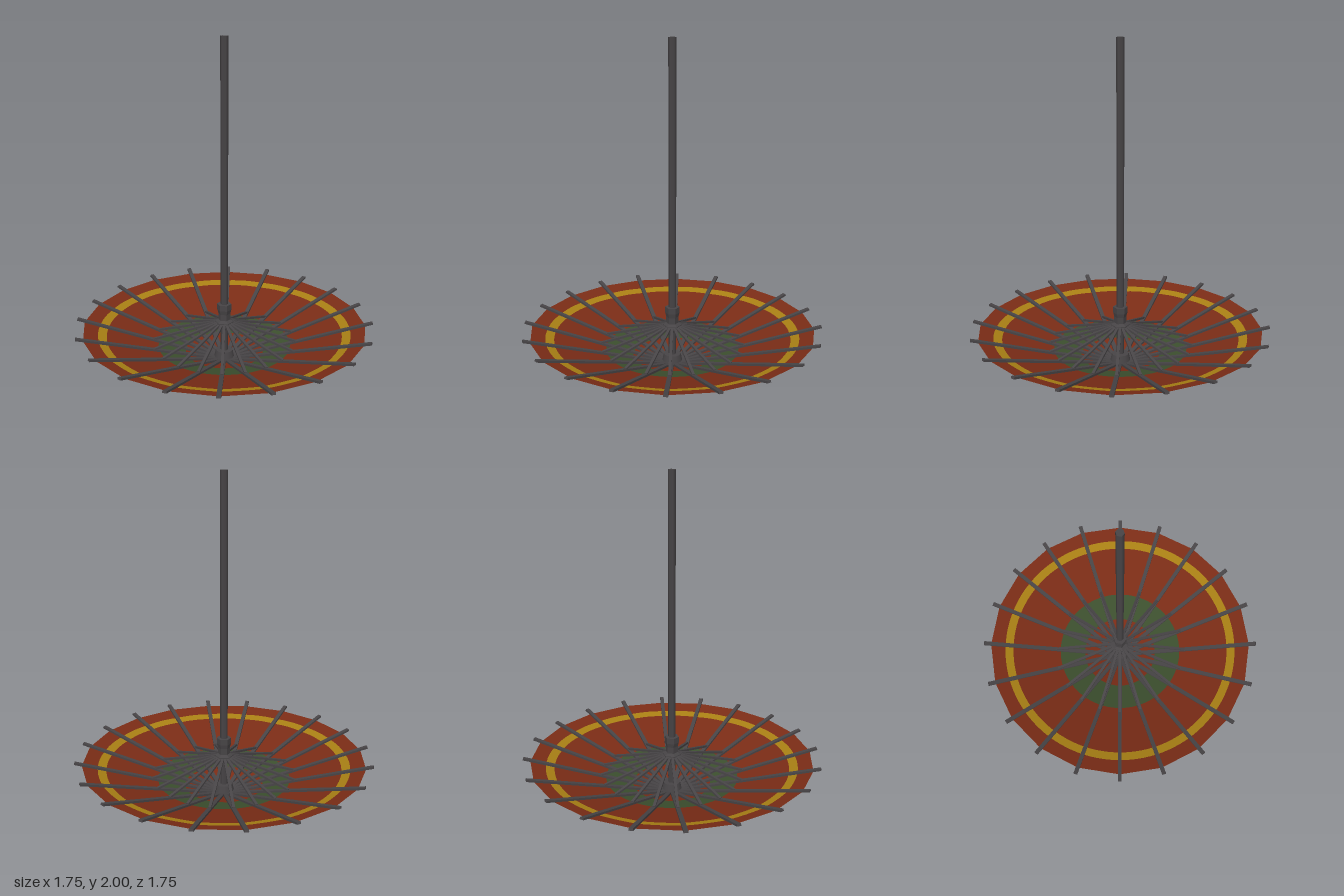
import * as THREE from 'three';

const SIDES = 20, STEP = (Math.PI * 2) / SIDES, SUB = 6;
const APEX_Y = 0.095, RIM_Y = 0.33, RIM_R = 0.83;
const SLOPE = (RIM_Y - APEX_Y) / RIM_R;

function mat(name, color, side = THREE.FrontSide) {
  const m = new THREE.MeshStandardMaterial({ color, side });
  m.name = name;
  return m;
}

// Faceted cone surface between two radii; stripes are round, the rim follows the polygon
function canopyRing(r0, r1, isRim) {
  const pos = [];
  const point = (i, r, polygonal) => {
    const a = (i / SUB) * STEP;
    const dev = ((i % SUB) / SUB - 0.5) * STEP;
    const facet = Math.cos(dev) / Math.cos(STEP / 2);
    const rad = polygonal ? r / facet : r;
    return [Math.cos(a) * rad, APEX_Y + SLOPE * rad * facet, Math.sin(a) * rad];
  };
  for (let i = 0; i < SIDES * SUB; i++) {
    const a = point(i, r0, false), b = point(i + 1, r0, false);
    const c = point(i + 1, r1, isRim), d = point(i, r1, isRim);
    pos.push(...a, ...b, ...c, ...a, ...c, ...d);
  }
  const g = new THREE.BufferGeometry();
  g.setAttribute('position', new THREE.Float32BufferAttribute(pos, 3));
  g.computeVertexNormals();
  return g;
}

// Straight bar in the x-y plane from (r0, y0) to (r1, y1)
function bar(r0, y0, r1, y1, width, thick) {
  const g = new THREE.BoxGeometry(Math.hypot(r1 - r0, y1 - y0), thick, width);
  g.rotateZ(Math.atan2(y1 - y0, r1 - r0));
  g.translate((r0 + r1) / 2, (y0 + y1) / 2, 0);
  return g;
}

export function createModel() {
  const group = new THREE.Group();
  const red = mat('redPaper', 0x7a2c16, THREE.DoubleSide);
  const green = mat('greenPaper', 0x3c4f2e, THREE.DoubleSide);
  const yellow = mat('yellowPaper', 0xa87f14, THREE.DoubleSide);
  const dark = mat('darkWood', 0x474446);
  const gold = mat('goldCap', 0xb58616);

  const add = (name, geometry, material, parent = group) => {
    const m = new THREE.Mesh(geometry, material);
    m.name = name;
    parent.add(m);
    return m;
  };

  // Canopy, open side up, in coloured rings
  const canopy = new THREE.Group();
  canopy.name = 'canopy';
  group.add(canopy);
  add('canopyCentre', canopyRing(0.002, 0.23, false), red, canopy);
  add('greenBand', canopyRing(0.23, 0.39, false), green, canopy);
  add('canopyField', canopyRing(0.39, 0.69, false), red, canopy);
  add('yellowStripe', canopyRing(0.69, 0.74, false), yellow, canopy);
  add('canopyEdge', canopyRing(0.74, RIM_R, true), red, canopy);

  // Ribs along the canopy and stretchers down from the runner
  const onCone = (r) => APEX_Y + SLOPE * r + 0.007;
  const ribGeo = bar(0.03, onCone(0.03), 0.872, onCone(0.872), 0.024, 0.012);
  const stretcherGeo = bar(0.03, 0.345, 0.42, onCone(0.42) + 0.004, 0.016, 0.012);
  for (let i = 0; i < SIDES; i++) {
    const spoke = new THREE.Group();
    spoke.name = 'spoke' + (i + 1);
    spoke.rotation.y = i * STEP;
    add('rib', ribGeo, dark, spoke);
    add('stretcher', stretcherGeo, dark, spoke);
    group.add(spoke);
  }

  // Six-sided pole with its corners on the x axis
  const pole = new THREE.CylinderGeometry(0.022, 0.022, 1.89, 6);
  pole.rotateY(Math.PI / 6);
  pole.translate(0, 1.055, 0);
  add('pole', pole.toNonIndexed(), dark);

  // Sliding runner and the lower hub
  const runner = [[0, 0.335], [0.055, 0.335], [0.055, 0.35], [0.036, 0.362],
    [0.036, 0.4], [0.042, 0.425], [0.042, 0.46], [0, 0.46]];
  const runnerGeo = new THREE.LatheGeometry(runner.map((p) => new THREE.Vector2(...p)), 6)
    .rotateY(Math.PI / 6).toNonIndexed();
  runnerGeo.computeVertexNormals();
  add('runner', runnerGeo, dark);
  const hub = new THREE.CylinderGeometry(0.05, 0.06, 0.045, 12);
  hub.translate(0, 0.1425, 0);
  add('hub', hub, dark);

  // Gold end cap with four petals on the diagonals
  const cap = [[0, 0], [0.06, 0], [0.064, 0.008], [0.065, 0.07], [0.06, 0.085], [0.045, 0.105]];
  add('endCap', new THREE.LatheGeometry(cap.map((p) => new THREE.Vector2(...p)), 16), gold);
  for (let i = 0; i < 4; i++) {
    const petal = add('capPetal', new THREE.SphereGeometry(1, 12, 8), gold);
    petal.scale.set(0.055, 0.011, 0.035);
    const a = Math.PI / 4 + (i * Math.PI) / 2;
    petal.position.set(Math.cos(a) * 0.077, 0.1, Math.sin(a) * 0.077);
    petal.rotation.y = -a;
  }
  return group;
}
